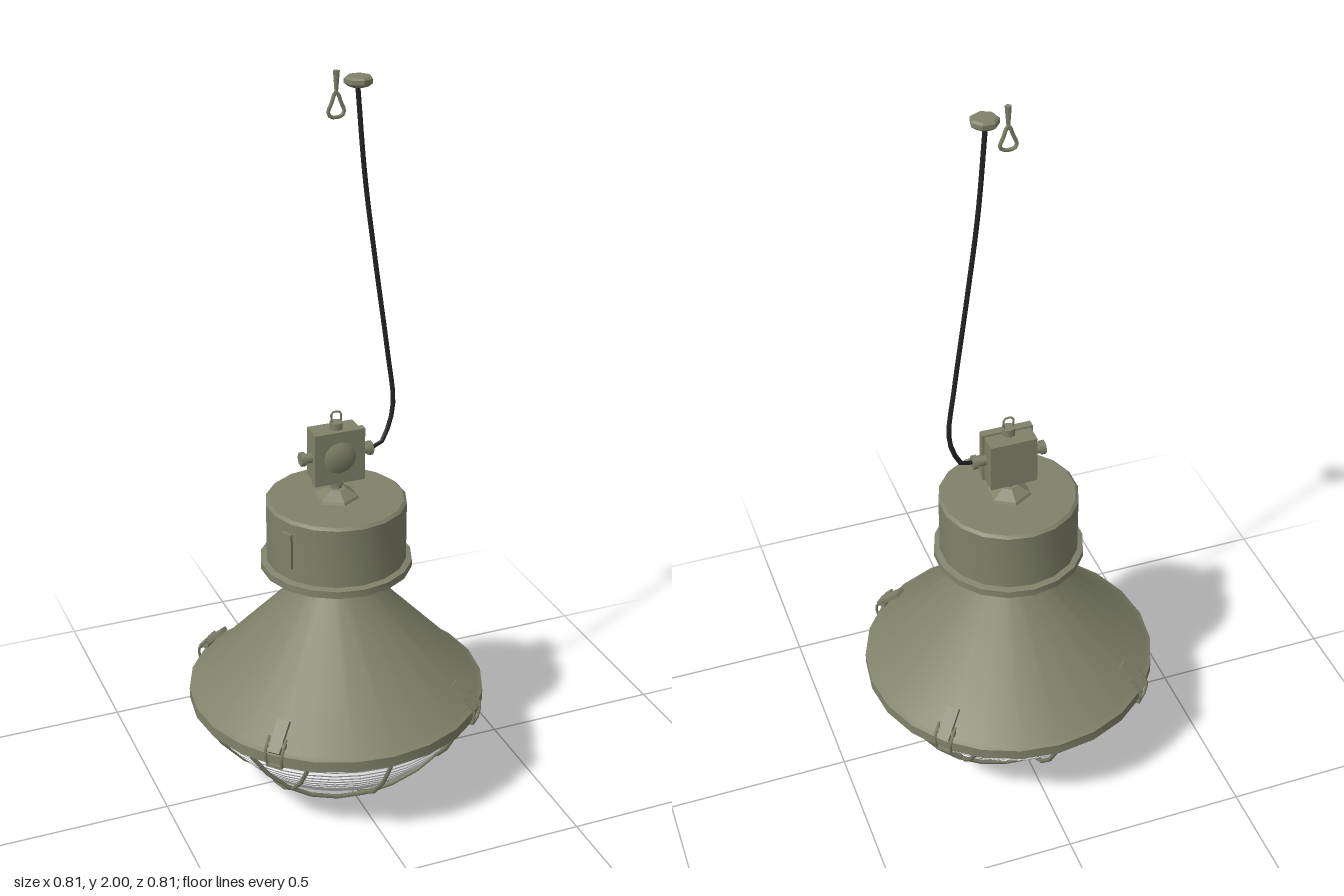
import * as THREE from 'three';
import { toCreasedNormals } from 'three/addons/utils/BufferGeometryUtils.js';

const paint = new THREE.MeshStandardMaterial({ color: 0x80826a, side: THREE.DoubleSide });
paint.name = 'olive paint';
const glass = new THREE.MeshStandardMaterial({ color: 0xe8e8e8, side: THREE.DoubleSide });
glass.name = 'pale glass';
const rubber = new THREE.MeshStandardMaterial({ color: 0x262626, side: THREE.DoubleSide });
rubber.name = 'black rubber';

const v3 = (p) => new THREE.Vector3(...p);

function add(parent, name, geometry, material, pos = [0, 0, 0], rot = [0, 0, 0]) {
  const mesh = new THREE.Mesh(geometry, material);
  mesh.name = name;
  mesh.position.set(...pos);
  mesh.rotation.set(...rot);
  parent.add(mesh);
  return mesh;
}

// Turned part: profile points [radius, y] from bottom to top
function turned(points, sides, crease = 0.45) {
  const g = new THREE.LatheGeometry(points.map((p) => new THREE.Vector2(...p)), sides);
  return toCreasedNormals(g, crease);
}

// Tube along a smooth curve
function wire(points, radius, segments, closed = false) {
  const curve = new THREE.CatmullRomCurve3(points.map(v3), closed, 'catmullrom', 0.5);
  return new THREE.TubeGeometry(curve, segments, radius, 5, closed);
}

// Height of the guard cage at a given distance from the axis
const cageY = (r) => 0.01 + 0.8 * r * r + 5.8 * r ** 4;

export function createModel() {
  const lamp = new THREE.Group();
  lamp.name = 'pendantLamp';

  // Conical shade with rim and neck
  add(lamp, 'shade', turned([
    [0.365, 0.285], [0.375, 0.27], [0.405, 0.27], [0.405, 0.3], [0.39, 0.308],
    [0.095, 0.62], [0.092, 0.625], [0.092, 0.675],
  ], 24), paint);

  // Housing with a stepped underside, flange and lid
  add(lamp, 'housing', turned([
    [0.09, 0.685], [0.11, 0.685], [0.112, 0.676], [0.135, 0.676], [0.138, 0.685],
    [0.16, 0.685], [0.163, 0.67], [0.204, 0.67], [0.204, 0.69], [0.188, 0.694],
    [0.188, 0.858], [0.18, 0.865], [0, 0.865],
  ], 18), paint);
  add(lamp, 'housingLatch', new THREE.BoxGeometry(0.012, 0.1, 0.03), paint,
    [-0.168, 0.78, 0.085], [0, 0.47, 0]);

  // Hexagonal collar, stem and stem nut
  add(lamp, 'collar', turned([
    [0.062, 0.865], [0.058, 0.872], [0.026, 0.892], [0.016, 0.893], [0.016, 0.925], [0, 0.925],
  ], 6, 0.2), paint);
  add(lamp, 'stemNut', new THREE.CylinderGeometry(0.02, 0.02, 0.016, 6), paint, [0, 0.91, 0]);

  // Junction box with lid, side glands and top lug
  const box = new THREE.Group();
  box.name = 'junctionBox';
  box.position.set(0, 0.99, -0.003);
  lamp.add(box);
  add(box, 'boxBody', new THREE.BoxGeometry(0.128, 0.136, 0.056), paint, [0, 0, -0.014]);
  add(box, 'boxLid', new THREE.BoxGeometry(0.14, 0.146, 0.022), paint, [0, 0, 0.021]);
  add(box, 'lidBoss', turned([[0.045, 0], [0.03, 0.008], [0, 0.01]], 12, 0.9), paint,
    [0, 0, 0.032], [Math.PI / 2, 0, 0]);
  for (const s of [-1, 1]) {
    add(box, 'gland', new THREE.CylinderGeometry(0.014, 0.014, 0.036, 8), paint,
      [s * 0.078, 0, 0.003], [0, 0, Math.PI / 2]);
    add(box, 'glandNut', new THREE.CylinderGeometry(0.019, 0.019, 0.014, 6), paint,
      [s * 0.094, 0, 0.003], [0, 0, Math.PI / 2]);
  }
  add(box, 'topLug', new THREE.CylinderGeometry(0.018, 0.018, 0.022, 8), paint, [0, 0.08, 0.003]);
  add(box, 'hangingEye', wire([
    [-0.012, 0.085, 0.003], [-0.012, 0.117, 0.003], [0.012, 0.117, 0.003], [0.012, 0.085, 0.003],
  ], 0.003, 10), paint);

  // Power cable rising to the ceiling cap
  const cable = add(lamp, 'cable', wire([
    [0.1, 0.99, 0], [0.135, 1.005, -0.012], [0.165, 1.1, -0.024], [0.146, 1.25, -0.016],
    [0.108, 1.5, -0.006], [0.076, 1.73, 0], [0.055, 1.965, 0],
  ], 0.007, 28), rubber);
  cable.scale.z = 0.5;
  add(lamp, 'ceilingCap', turned([
    [0, 1.958], [0.026, 1.958], [0.036, 1.966], [0.036, 1.977], [0.03, 1.982], [0, 1.982],
  ], 7), paint, [0.058, 0, 0]);

  // Pear-shaped hanging hook with its shank
  add(lamp, 'hookLoop', wire([
    [0, 1.95, 0], [0.013, 1.92, 0], [0.021, 1.9, 0], [0.012, 1.888, 0],
    [-0.012, 1.888, 0], [-0.021, 1.9, 0], [-0.013, 1.92, 0],
  ], 0.005, 18, true), paint);
  add(lamp, 'hookShank', new THREE.CylinderGeometry(0.009, 0.004, 0.06, 5), paint, [0, 1.97, 0]);

  // Glass bowl: shallow ribs on the upper wall, smooth bottom
  const bowl = [[0, 0.026], [0.08, 0.031], [0.15, 0.048], [0.21, 0.075], [0.26, 0.108]];
  const ribs = 8;
  for (let i = 0; i < ribs; i++) {
    const t = i / ribs;
    const r = 0.288 + 0.08 * Math.sin(t * Math.PI / 2);
    const y = 0.135 + 0.135 * t;
    bowl.push([r, y], [r + 0.006, y + 0.008], [r + 0.003, y + 0.014]);
  }
  bowl.push([0.37, 0.275]);
  add(lamp, 'glassBowl', turned(bowl, 32, 0.5), glass);

  // Guard cage: three bars each way, each following the bowl
  const cage = new THREE.Group();
  cage.name = 'guardCage';
  lamp.add(cage);
  for (const turn of [0, Math.PI / 2]) {
    for (const offset of [-0.21, 0, 0.21]) {
      const half = Math.sqrt(0.386 ** 2 - offset ** 2);
      const pts = [];
      for (let i = -5; i <= 5; i++) {
        const x = half * Math.sin((i / 5) * Math.PI / 2);
        pts.push([x, Math.min(0.275, cageY(Math.hypot(x, offset))), offset]);
      }
      add(cage, 'guardBar', wire(pts, 0.006, 10), paint, [0, 0, 0], [0, turn, 0]);
    }
  }
  add(cage, 'guardRing', new THREE.TorusGeometry(0.386, 0.007, 5, 24), paint,
    [0, 0.27, 0], [Math.PI / 2, 0, 0]);

  // Four toggle clips holding the rim
  for (let i = 0; i < 4; i++) {
    const clip = new THREE.Group();
    clip.name = 'clip';
    clip.rotation.y = Math.PI / 4 + i * Math.PI / 2;
    lamp.add(clip);
    add(clip, 'clipLever', new THREE.BoxGeometry(0.09, 0.012, 0.034), paint,
      [0.378, 0.342, 0], [0, 0, -0.72]);
    add(clip, 'clipPivot', new THREE.CylinderGeometry(0.01, 0.01, 0.05, 6), paint,
      [0.392, 0.325, 0], [Math.PI / 2, 0, 0]);
    for (const s of [-1, 1]) {
      add(clip, 'clipArm', wire([
        [0.385, 0.345, s * 0.024], [0.412, 0.31, s * 0.024], [0.408, 0.268, s * 0.02],
      ], 0.004, 6), paint);
    }
    add(clip, 'clipHook', new THREE.BoxGeometry(0.012, 0.008, 0.045), paint, [0.405, 0.27, 0]);
  }

  return lamp;
}
